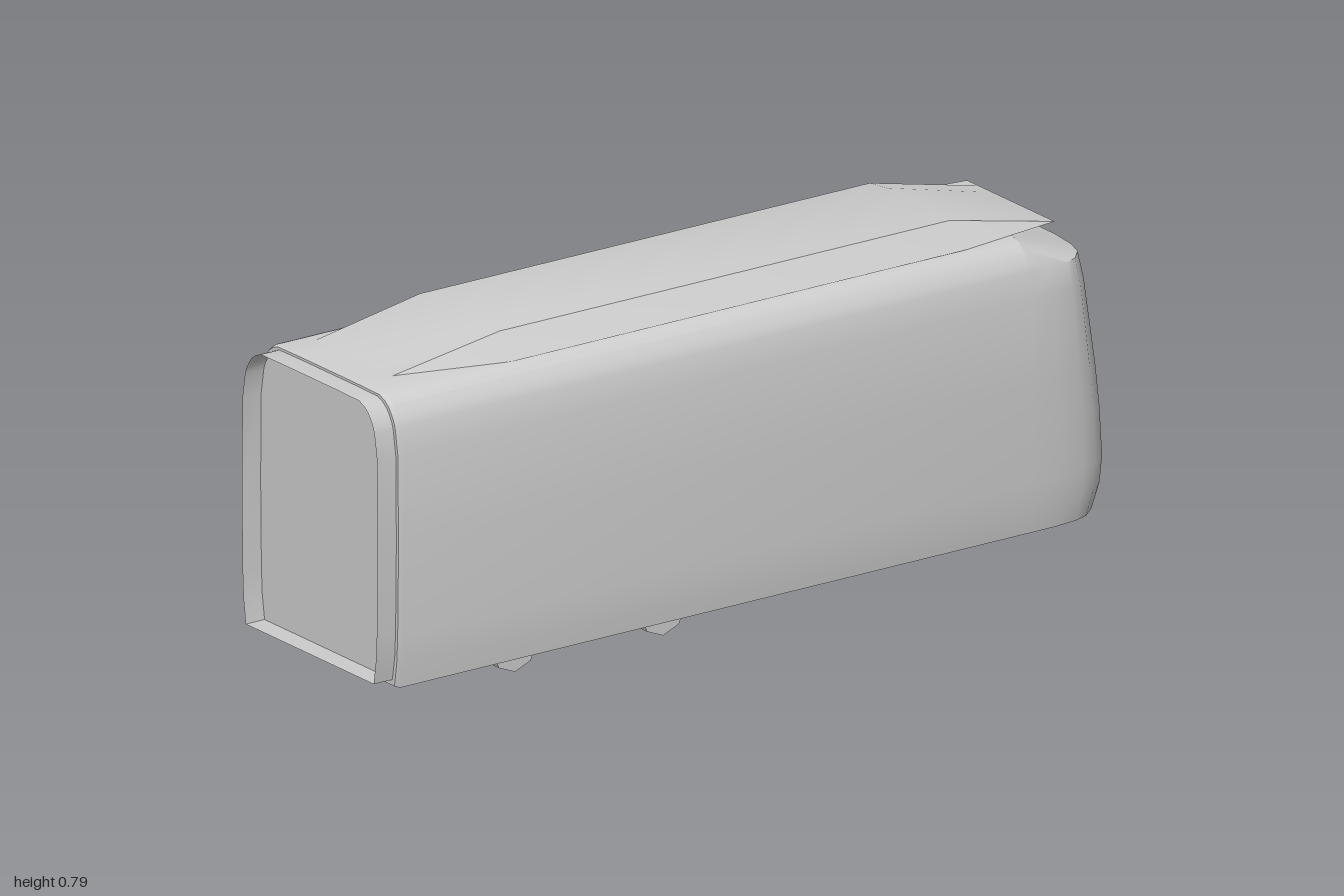
import * as THREE from 'three';
import { toCreasedNormals } from 'three/addons/utils/BufferGeometryUtils.js';

// Half outline of the car body: side wall from floor to shoulder, then shoulder to roof centre
const WALL = [[0.247, 0.06], [0.256, 0.12], [0.259, 0.18], [0.261, 0.3], [0.262, 0.4], [0.26, 0.6]];
const SHOULDER = [[0.25, 0.66], [0.245, 0.675], [0.235, 0.692], [0.225, 0.705], [0.21, 0.716], [0.19, 0.724], [0.1, 0.725], [0, 0.725]];

// Mirror a half outline that ends on the centre line
const mirror = (half) => [...half, ...half.slice(0, -1).reverse().map(([x, ...r]) => [-x, ...r])];

// Skin a series of rings; optionally close each ring and cap the first and last
function loft(rings, { closed = false, capStart = false, capEnd = false, crease = 0.5 } = {}) {
  const pos = [];
  const tri = (...pts) => pts.forEach((p) => pos.push(...p));
  for (let k = 0; k < rings.length - 1; k++) {
    const r = rings[k], s = rings[k + 1], n = r.length;
    for (let i = 0; i < (closed ? n : n - 1); i++) {
      const j = (i + 1) % n;
      tri(r[i], s[i], r[j]);
      tri(r[j], s[i], s[j]);
    }
  }
  const first = rings[0], last = rings[rings.length - 1];
  for (let i = 1; i < first.length - 1; i++) {
    if (capStart) tri(first[0], first[i], first[i + 1]);
    if (capEnd) tri(last[0], last[i + 1], last[i]);
  }
  const geo = new THREE.BufferGeometry();
  geo.setAttribute('position', new THREE.Float32BufferAttribute(pos, 3));
  geo.computeVertexNormals();
  return toCreasedNormals(geo, crease);
}

export function createModel() {
  const group = new THREE.Group();
  const grey = new THREE.MeshStandardMaterial({ color: 0xcccccc, side: THREE.DoubleSide });
  grey.name = 'grey';
  const add = (name, geo) => {
    const mesh = new THREE.Mesh(geo, grey);
    mesh.name = name;
    group.add(mesh);
    return mesh;
  };

  // Long body with a small bevel around the front end
  const section = mirror([...WALL, ...SHOULDER]);
  const bodyRing = (z, s) => section.map(([x, y]) => [x * s, 0.39 + (y - 0.39) * s, z]);
  add('body', loft([bodyRing(0.95, 0.985), bodyRing(0.938, 1), bodyRing(-0.74, 1)],
    { closed: true, capStart: true, capEnd: true }));

  // Open gangway collar at the front
  const collar = (z) => section.map(([x, y]) => [x * 0.955, 0.078 + (y - 0.06) * 0.957, z]);
  add('gangwayCollar', loft([collar(1), collar(0.945)], { closed: true }));

  // Rounded nose: one plan curve scaled at each height, with a sloping brow on top
  const plan = mirror([[1, 0], [1, 0.3], [0.975, 0.55], [0.93, 0.7], [0.8, 0.86], [0.62, 0.945], [0.33, 0.99], [0, 1]]);
  const depths = [0.235, 0.254, 0.26, 0.25, 0.236, 0.202, 0.19];
  const levels = [...WALL, SHOULDER[0]].map(([w, y], i) =>
    plan.map(([px, pz]) => [px * w, y, -0.74 - pz * depths[i]]));
  const brow = mirror(SHOULDER).map(([x, y]) => [x, y, -0.74]);
  add('nose', loft([brow, ...levels.reverse()], { capEnd: true, crease: 0.6 }));

  // Roof fairing that tapers to a flat edge at both ends
  const hump = mirror([[0.197, 0.724], [0.147, 0.779], [0.08, 0.787], [0, 0.789]]);
  const humpRing = (z) => hump.map(([x, y]) => [x, y, z]);
  const tip = (z) => hump.map(([x]) => [x * 0.82, 0.724, z]);
  add('roofFairing', loft([tip(0.87), humpRing(0.6), humpRing(-0.6), tip(-0.87)], { closed: true }));

  // Eight-sided wheels, half hidden in the floor
  const wheelGeo = toCreasedNormals(new THREE.CylinderGeometry(0.06, 0.06, 0.022, 8), 0.3);
  wheelGeo.rotateZ(Math.PI / 2);
  for (const z of [0.58, 0.185]) {
    for (const x of [-0.165, 0.165]) add('wheel', wheelGeo).position.set(x, 0.06, z);
  }

  return group;
}
